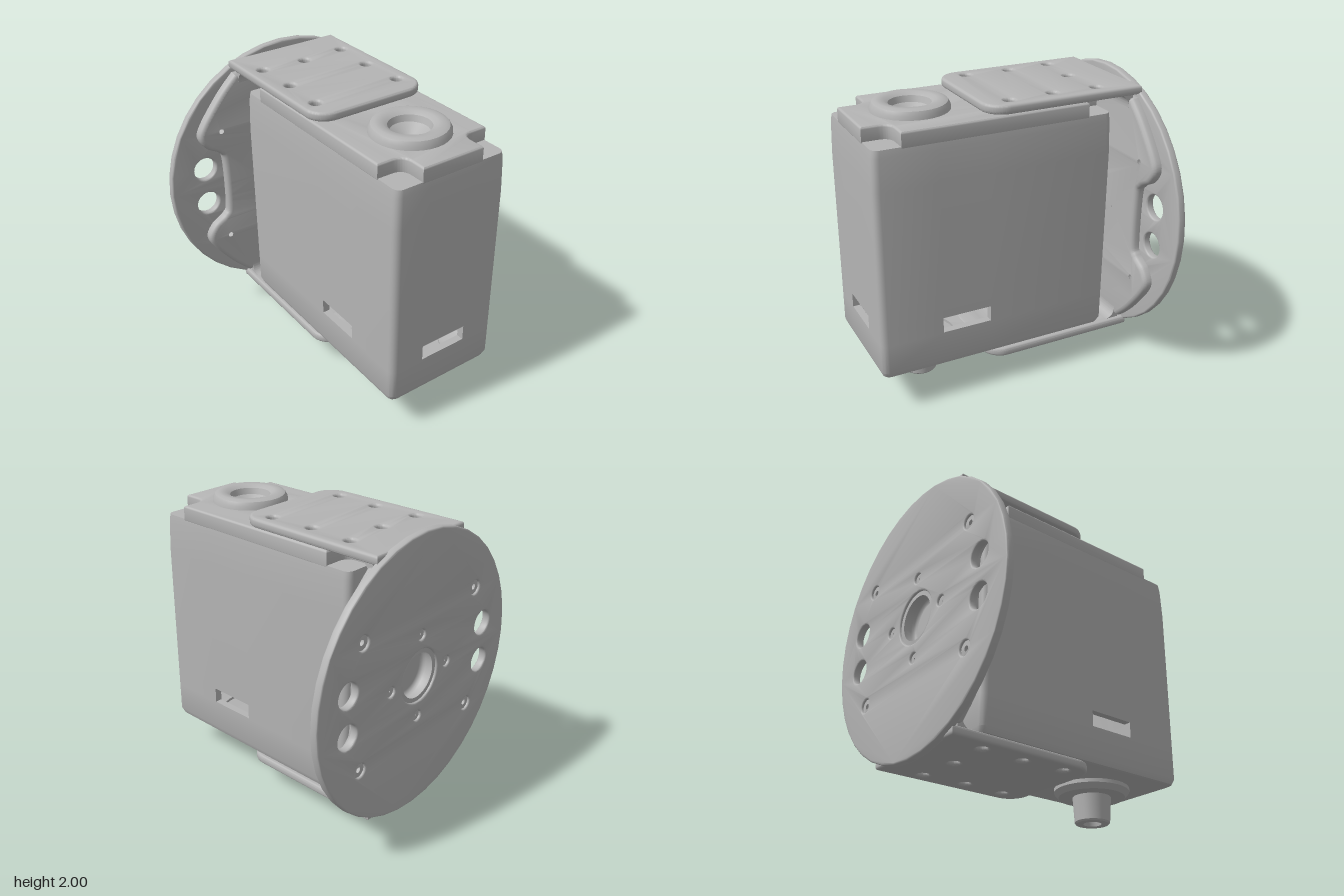
import * as THREE from 'three';
import { toCreasedNormals } from 'three/addons/utils/BufferGeometryUtils.js';

const MID_Y = 1.065;  // height of the disc centre
const SHAFT_Z = 0.525;

export function createModel() {
  const model = new THREE.Group();
  const grey = new THREE.MeshStandardMaterial({ color: 0xb4b4b4, side: THREE.DoubleSide });
  grey.name = 'grey metal';

  const add = (name, geometry, parent = model) => {
    const mesh = new THREE.Mesh(toCreasedNormals(geometry, 0.6), grey);
    mesh.name = name;
    parent.add(mesh);
    return mesh;
  };
  // Extrusion filling z = 0..h with softened edges inside the outline
  const extrude = (shape, h, b = 0) => new THREE.ExtrudeGeometry(shape, {
    depth: h - 2 * b, bevelEnabled: b > 0, bevelThickness: b, bevelSize: b,
    bevelOffset: -b, bevelSegments: 3, curveSegments: 20,
  }).translate(0, 0, b);
  // Horizontal slab: shape y becomes z, top surface at y1
  const slab = (shape, y0, y1, b) => extrude(shape, y1 - y0, b).rotateX(Math.PI / 2).translate(0, y1, 0);
  const hole = (shape, x, y, r) => {
    const p = new THREE.Path();
    p.absarc(x, y, r, 0, Math.PI * 2, true);
    shape.holes.push(p);
  };

  // Hollow housing, lofted from rounded rectangles, with slots left open
  const section = (inset) => {
    const hx = 0.41 - inset, hz = 0.815 - inset, cz = 0.115, r = 0.045;
    const pts = [];
    const corner = (sx, sz, start) => {
      for (let i = 0; i <= 4; i++) {
        const a = start + (i / 4) * Math.PI / 2;
        pts.push([sx * (hx - r) + r * Math.cos(a), cz + sz * (hz - r) + r * Math.sin(a)]);
      }
    };
    corner(1, 1, 0);
    pts.push([0.17, cz + hz], [-0.17, cz + hz]);
    corner(-1, 1, Math.PI / 2);
    pts.push([-hx, 0.51], [-hx, 0.17]);
    corner(-1, -1, Math.PI);
    corner(1, -1, Math.PI * 1.5);
    pts.push([hx, 0.17], [hx, 0.51]);
    return pts;
  };
  const levels = [[0.24, 0.04], [0.252, 0.015], [0.29, 0], [0.49, 0], [0.6, 0], [1.53, 0], [1.74, 0.006], [1.79, 0.012]];
  const slotCells = [5, 12, 24];
  const rings = levels.map(([y, inset]) => section(inset).map(([x, z]) => [x, y, z]));
  const verts = [];
  const count = rings[0].length;
  for (let i = 0; i < count; i++) {
    const j = (i + 1) % count;
    for (let k = 0; k < rings.length - 1; k++) {
      if (k === 3 && slotCells.includes(i)) continue;
      const [a, b, c, d] = [rings[k][i], rings[k][j], rings[k + 1][i], rings[k + 1][j]];
      verts.push(...a, ...c, ...b, ...b, ...c, ...d);
    }
    const top = rings[rings.length - 1];
    verts.push(0, 0.24, 0.115, ...rings[0][i], ...rings[0][j]);
    verts.push(0, 1.79, 0.115, ...top[j], ...top[i]);
  }
  const housing = new THREE.BufferGeometry();
  housing.setAttribute('position', new THREE.Float32BufferAttribute(verts, 3));
  housing.computeVertexNormals();
  add('housing', housing);

  // Short sleeves giving the slots some wall thickness
  const rect = (T, w, h) => new T([[-w, -h], [w, -h], [w, h], [-w, h]].map(([x, y]) => new THREE.Vector2(x, y)));
  const sleeve = () => {
    const s = rect(THREE.Shape, 0.19, 0.075);
    s.holes.push(rect(THREE.Path, 0.17, 0.055));
    return extrude(s, 0.05);
  };
  add('frontSlotSleeve', sleeve().translate(0, 0.545, 0.875));
  add('leftSlotSleeve', sleeve().rotateY(Math.PI / 2).translate(0.355, 0.545, 0.34));
  add('rightSlotSleeve', sleeve().rotateY(-Math.PI / 2).translate(-0.355, 0.545, 0.34));

  // Housing lid with scooped corners
  const lid = new THREE.Shape();
  const w = 0.4, n = 0.22, r = 0.08, zf = 0.92, nf = 0.74, zb = -0.69, nb = -0.52;
  lid.moveTo(-n, zb);
  lid.lineTo(n, zb);
  lid.lineTo(n, nb - r);
  lid.quadraticCurveTo(n, nb, n + r, nb);
  lid.lineTo(w, nb);
  lid.lineTo(w, nf);
  lid.lineTo(n + r, nf);
  lid.quadraticCurveTo(n, nf, n, nf + r);
  lid.lineTo(n, zf);
  lid.lineTo(-n, zf);
  lid.lineTo(-n, nf + r);
  lid.quadraticCurveTo(-n, nf, -n - r, nf);
  lid.lineTo(-w, nf);
  lid.lineTo(-w, nb);
  lid.lineTo(-n - r, nb);
  lid.quadraticCurveTo(-n, nb, -n, nb - r);
  hole(lid, 0, SHAFT_Z, 0.14);
  add('housingLid', slab(lid, 1.77, 1.88, 0.015));

  // Turned parts on the shaft axis
  const lathe = (name, pts) => add(name, new THREE.LatheGeometry(
    pts.map(([x, y]) => new THREE.Vector2(x, y)), 32).translate(0, 0, SHAFT_Z));
  lathe('topBoss', [[0.255, 1.86], [0.25, 1.905], [0.235, 1.93], [0.21, 1.94], [0.165, 1.938], [0.135, 1.92], [0.122, 1.88], [0, 1.8]]);
  lathe('bottomBoss', [[0.1, 0.18], [0.225, 0.18], [0.255, 0.215], [0.255, 0.26]]);
  lathe('outputShaft', [[0, 0.08], [0.05, 0.06], [0.06, 0], [0.11, 0], [0.118, 0.01], [0.13, 0.19]]);

  // Bracket arms, the lower one turned over
  for (const [name, turn] of [['upperArm', 0], ['lowerArm', Math.PI]]) {
    const arm = new THREE.Group();
    arm.name = name;
    arm.position.y = MID_Y;
    arm.rotation.z = turn;
    model.add(arm);
    const plate = new THREE.Shape();
    plate.moveTo(-0.415, -0.9);
    plate.lineTo(0.415, -0.9);
    plate.lineTo(0.415, 0.04);
    plate.absarc(0.275, 0.04, 0.14, 0, Math.PI / 2);
    plate.lineTo(-0.275, 0.18);
    plate.absarc(-0.275, 0.04, 0.14, Math.PI / 2, Math.PI);
    hole(plate, 0, -0.6, 0.035);
    for (const s of [-1, 1]) for (const [x, z] of [[0.31, -0.62], [0.295, -0.31], [0.31, 0]]) hole(plate, s * x, z, 0.035);
    add('armPlate', slab(plate, 1.887 - MID_Y, 1.947 - MID_Y, 0.018), arm);
    const bend = new THREE.Shape();
    bend.moveTo(0.85, 0.835);
    bend.lineTo(0.74, 0.835);
    bend.lineTo(0.74, 0.823);
    bend.quadraticCurveTo(0.82, 0.823, 0.82, 0.74);
    bend.lineTo(0.85, 0.74);
    add('armBend', extrude(bend, 0.78).rotateY(Math.PI / 2).translate(-0.39, 0, 0), arm);
  }

  // Holes shared by the disc and its raised middle
  const mountHoles = (shape) => {
    hole(shape, 0, MID_Y, 0.18);
    for (const [x, y] of [[0.28, 0], [-0.28, 0], [0, 0.28], [0, -0.28]]) hole(shape, x, MID_Y + y, 0.035);
    for (const s of [-1, 1]) for (const t of [-1, 1]) hole(shape, s * 0.55, MID_Y + t * 0.42, 0.048);
  };

  // Round back disc
  const disc = new THREE.Shape();
  disc.absarc(0, MID_Y, 0.935, 0, Math.PI * 2);
  mountHoles(disc);
  for (const s of [-1, 1]) for (const t of [-1, 1]) hole(disc, s * 0.67, MID_Y + t * 0.136, 0.083);
  add('backDisc', extrude(disc, 0.055, 0.012).translate(0, 0, -0.935));

  // Raised middle with waisted sides
  const side = [[0.41, 0.8], [0.53, 0.68], [0.67, 0.5], [0.71, 0.4], [0.66, 0.31], [0.57, 0.25], [0.54, 0.17]];
  const right = [...side, ...side.map(([x, y]) => [x, -y]).reverse()].map(([x, y]) => new THREE.Vector2(x, MID_Y + y));
  const left = right.map((p) => new THREE.Vector2(-p.x, p.y)).reverse();
  const raised = new THREE.Shape();
  raised.moveTo(right[0].x, right[0].y);
  raised.splineThru(right.slice(1));
  raised.lineTo(left[0].x, left[0].y);
  raised.splineThru(left.slice(1));
  mountHoles(raised);
  add('raisedMiddle', extrude(raised, 0.1, 0.03).translate(0, 0, -0.92));

  return model;
}
